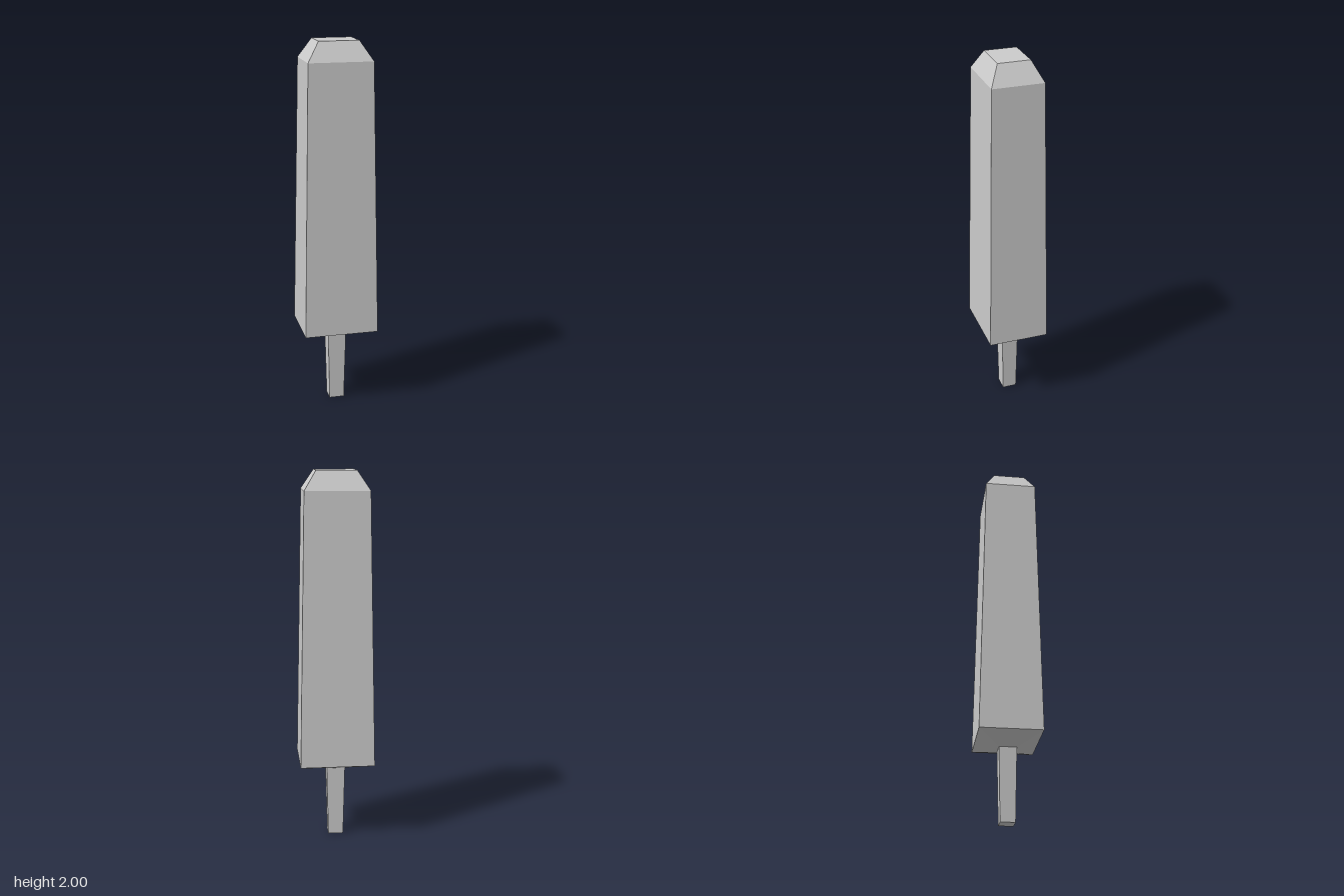
import * as THREE from 'three';

const material = new THREE.MeshStandardMaterial({ color: 0xcccccc, flatShading: true });

// Lofts rectangular sections [y, halfX, halfZ], listed bottom to top, with optional end caps.
function loftRects(name, sections, { bottom = false, top = false }) {
  const corners = [[1, 1], [1, -1], [-1, -1], [-1, 1]];
  const positions = sections.flatMap(([y, hx, hz]) => corners.flatMap(([sx, sz]) => [sx * hx, y, sz * hz]));
  const index = [];
  for (let s = 0; s < sections.length - 1; s++) {
    for (let i = 0; i < 4; i++) {
      const a = s * 4 + i, b = s * 4 + (i + 1) % 4;
      index.push(a, b, b + 4, a, b + 4, a + 4);
    }
  }
  const last = (sections.length - 1) * 4;
  if (bottom) index.push(0, 2, 1, 0, 3, 2);
  if (top) index.push(last, last + 1, last + 2, last, last + 2, last + 3);

  const indexed = new THREE.BufferGeometry();
  indexed.setAttribute('position', new THREE.Float32BufferAttribute(positions, 3));
  indexed.setIndex(index);
  const geometry = indexed.toNonIndexed();
  geometry.computeVertexNormals();
  const mesh = new THREE.Mesh(geometry, material);
  mesh.name = name;
  return mesh;
}

export function createModel() {
  const model = new THREE.Group();
  model.name = 'columnarTree';

  // Slim trunk, slightly wider where it meets the crown
  model.add(loftRects('trunk', [
    [0, 0.041, 0.039],
    [0.388, 0.05, 0.046],
  ], { bottom: true }));

  // Crown: sloped underside, tapering sides and a bevelled flat top
  model.add(loftRects('crown', [
    [0.388, 0.05, 0.046],
    [0.433, 0.2, 0.164],
    [1.898, 0.171, 0.138],
    [2, 0.106, 0.086],
  ], { top: true }));

  return model;
}
